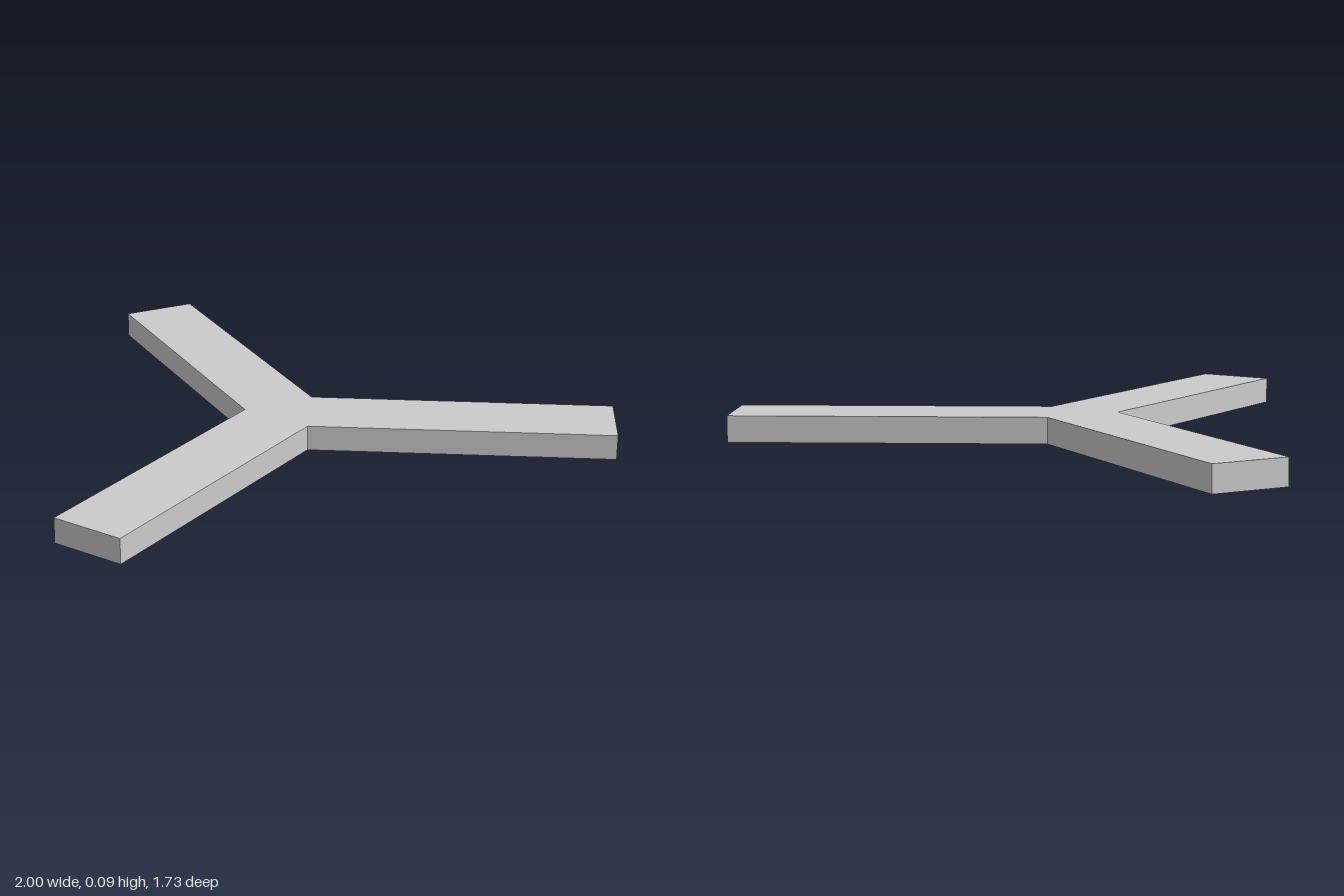
import * as THREE from 'three';

const HALF_WIDTH = 0.125; // half the width of an arm
const REACH = 1.0826;     // hub centre to arm end
const HEIGHT = 0.085;
const HUB_Z = -0.2166;    // places the bounding box centre at z = 0

export function createModel() {
  const group = new THREE.Group();
  group.name = 'threeArmedBar';

  // Outline: two end corners per arm, then the notch before the next arm
  const outline = [];
  const notch = HALF_WIDTH / Math.sin(Math.PI / 3);
  for (let i = 0; i < 3; i++) {
    const a = -Math.PI / 2 + (i * 2 * Math.PI) / 3;
    const dir = new THREE.Vector2(Math.cos(a), Math.sin(a));
    const side = new THREE.Vector2(-dir.y, dir.x);
    for (const s of [-1, 1]) {
      outline.push(dir.clone().multiplyScalar(REACH).addScaledVector(side, s * HALF_WIDTH));
    }
    const b = a + Math.PI / 3;
    outline.push(new THREE.Vector2(Math.cos(b) * notch, Math.sin(b) * notch));
  }

  // Flat slab, laid down with its underside on the ground
  const geometry = new THREE.ExtrudeGeometry(new THREE.Shape(outline), {
    depth: HEIGHT,
    bevelEnabled: false,
  });
  geometry.rotateX(-Math.PI / 2);
  geometry.translate(0, 0, HUB_Z);

  const arms = new THREE.Mesh(geometry, new THREE.MeshStandardMaterial({ color: 0xcccccc }));
  arms.name = 'arms';
  group.add(arms);
  return group;
}
